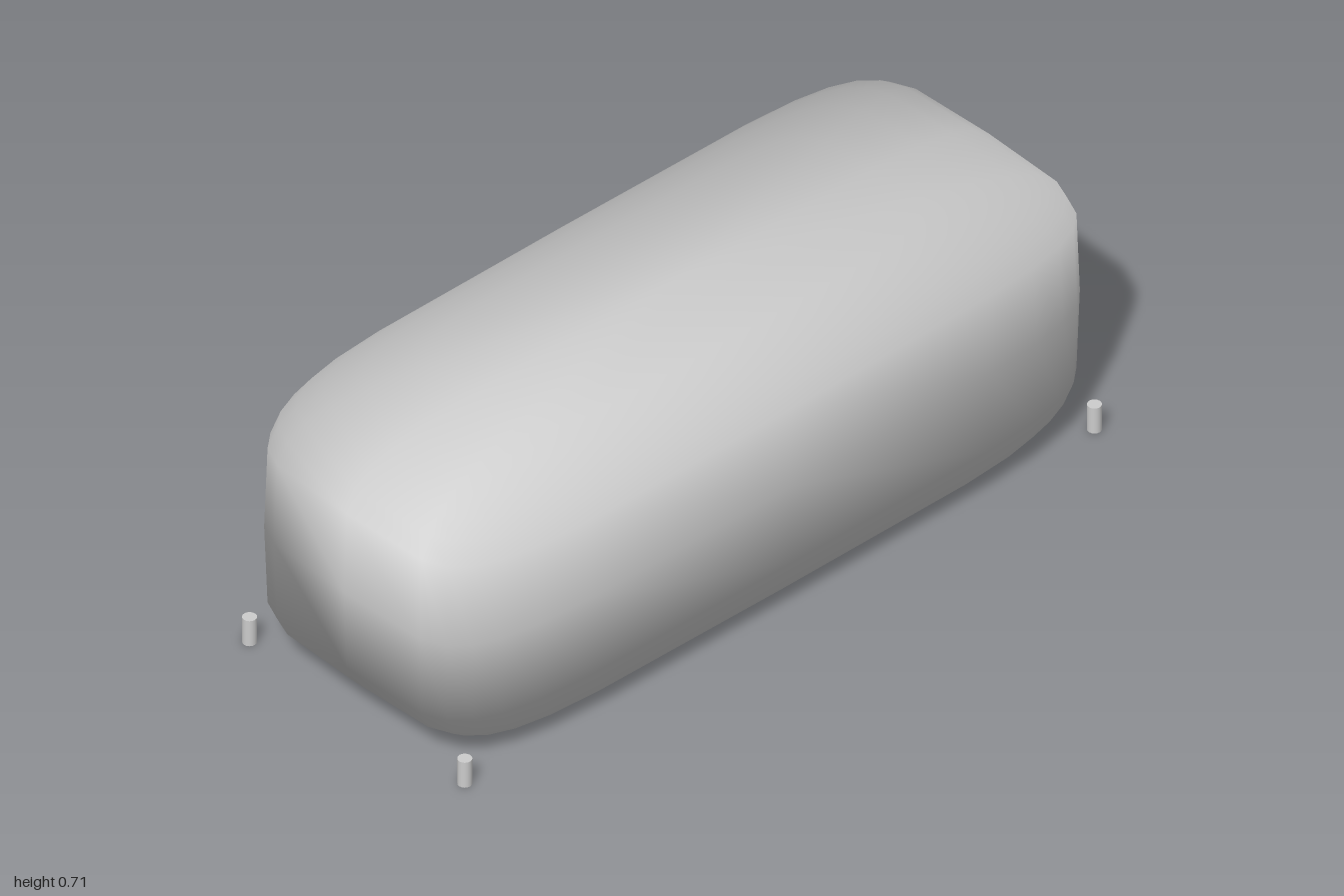
import * as THREE from 'three';

const HALF = new THREE.Vector3(0.995, 0.3545, 0.393); // half sizes of the body
const EXPONENT = 0.33;                                // squareness of the body

// Pushes a sphere coordinate outward so the sphere becomes a soft box
const square = (v) => (Math.abs(v) < 1e-6 ? 0 : Math.sign(v) * Math.abs(v) ** EXPONENT);

function softBox() {
  const geometry = new THREE.SphereGeometry(1, 28, 14);
  const { position, normal } = geometry.attributes;
  const p = new THREE.Vector3();
  for (let i = 0; i < position.count; i++) {
    // Ring radius and height are squared first, then the direction around the ring
    p.fromBufferAttribute(position, i);
    const ring = Math.hypot(p.x, p.z);
    const r = square(ring);
    const around = ring > 1e-6 ? 1 / ring : 0;
    p.set(r * square(p.x * around), square(p.y), r * square(p.z * around));
    p.multiply(HALF);
    position.setXYZ(i, p.x, p.y, p.z);
    // Pillowy, rounded shading
    p.divide(HALF).divide(HALF).normalize();
    normal.setXYZ(i, p.x, p.y, p.z);
  }
  return geometry;
}

export function createModel() {
  const model = new THREE.Group();
  model.name = 'pouf';
  const material = new THREE.MeshStandardMaterial({ color: 0xcccccc });

  // Cushion body
  const body = new THREE.Mesh(softBox(), material);
  body.name = 'cushion';
  body.position.y = 0.3575;
  model.add(body);

  // Four short corner legs
  const legGeometry = new THREE.CylinderGeometry(0.017, 0.017, 0.07, 16);
  for (const [sx, side] of [[1, 'left'], [-1, 'right']]) {
    for (const [sz, end] of [[1, 'front'], [-1, 'back']]) {
      const leg = new THREE.Mesh(legGeometry, material);
      leg.name = `${side} ${end} leg`;
      leg.position.set(sx * 0.955, 0.035, sz * 0.353);
      model.add(leg);
    }
  }
  return model;
}
